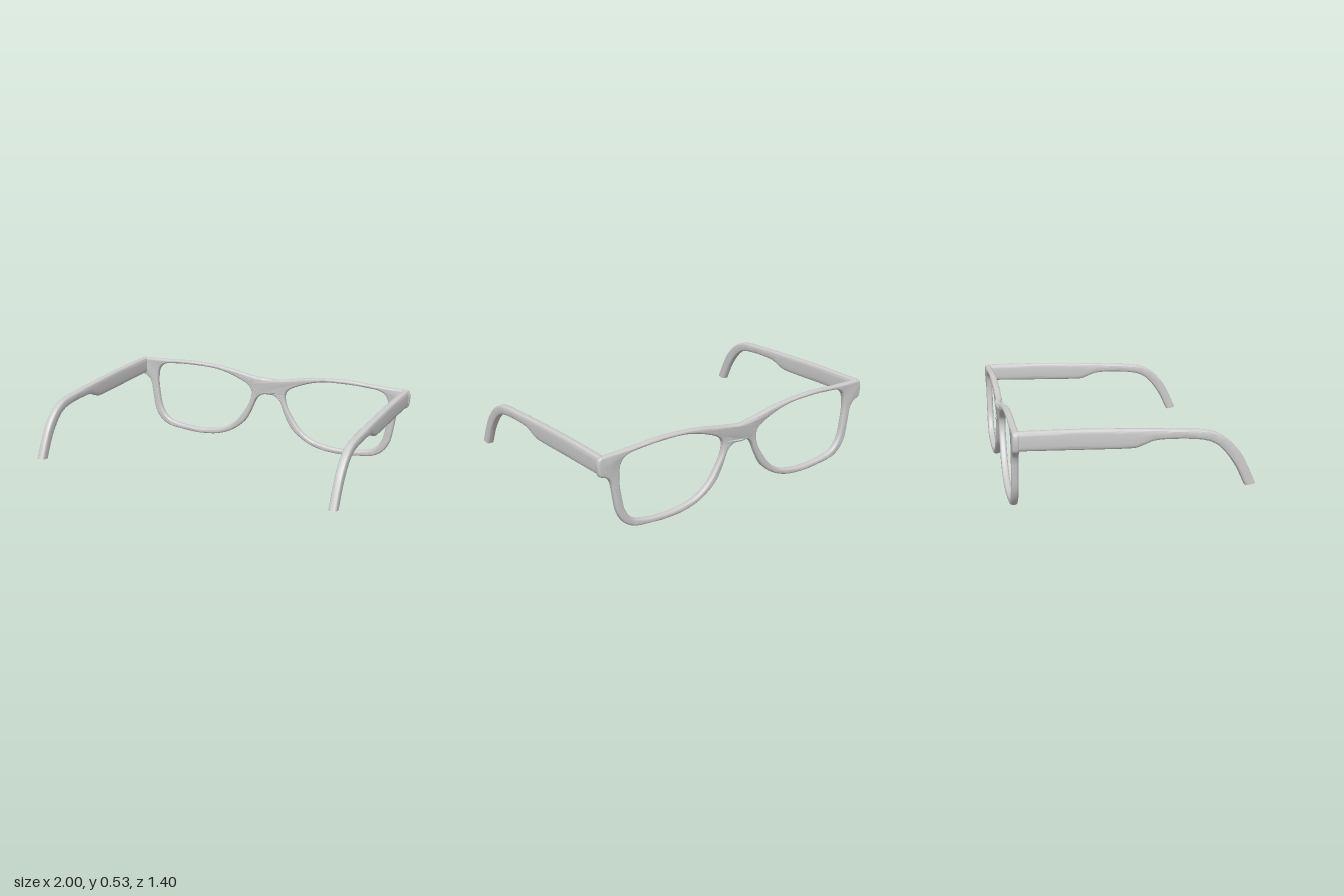
import * as THREE from 'three';
import { toCreasedNormals } from 'three/addons/utils/BufferGeometryUtils.js';

const material = new THREE.MeshStandardMaterial({ color: 0xcccccc });

// Smooth closed loop of 2D points through a few control points
function smoothLoop(points, count) {
  const curve = new THREE.CatmullRomCurve3(points.map(([x, y]) => new THREE.Vector3(x, y, 0)), true);
  return Array.from({ length: count }, (_, i) => {
    const p = curve.getPoint(i / count);
    return new THREE.Vector2(p.x, p.y);
  });
}

const mirrorX = (points) => points.map(([x, y]) => [-x, y]);

// Front frame: half outline from under the bridge, round the rim, to the top of the bridge
const halfOutline = [
  [0, 0.348], [0.045, 0.346], [0.085, 0.315], [0.122, 0.234], [0.172, 0.143], [0.272, 0.062],
  [0.378, 0.021], [0.512, 0.006], [0.642, 0.013], [0.767, 0.032], [0.833, 0.076], [0.873, 0.146],
  [0.893, 0.25], [0.912, 0.345], [0.94, 0.375], [0.978, 0.393], [0.987, 0.42], [0.987, 0.485],
  [0.975, 0.503], [0.9, 0.507], [0.752, 0.512], [0.592, 0.522], [0.432, 0.517], [0.272, 0.5],
  [0.137, 0.474], [0, 0.46],
];
const lensOpening = [
  [0.852, 0.36], [0.837, 0.442], [0.797, 0.476], [0.7, 0.49], [0.537, 0.495], [0.377, 0.486],
  [0.242, 0.448], [0.152, 0.404], [0.128, 0.369], [0.133, 0.304], [0.183, 0.208], [0.243, 0.132],
  [0.323, 0.077], [0.433, 0.049], [0.537, 0.042], [0.672, 0.053], [0.767, 0.082], [0.818, 0.147],
  [0.842, 0.25],
];

function frameGeometry() {
  const outline = [...halfOutline, ...mirrorX(halfOutline.slice(1, -1)).reverse()];
  const shape = new THREE.Shape(smoothLoop(outline, 200));
  for (const hole of [lensOpening, mirrorX(lensOpening)]) {
    shape.holes.push(new THREE.Path(smoothLoop(hole, 100)));
  }
  const geometry = new THREE.ExtrudeGeometry(shape, {
    depth: 0.008, bevelThickness: 0.016, bevelSize: 0.012, bevelOffset: -0.012, bevelSegments: 4,
  });
  geometry.translate(0, 0, -0.669);
  // Arch the bridge forward
  const pos = geometry.attributes.position;
  for (let i = 0; i < pos.count; i++) {
    const x = pos.getX(i);
    pos.setZ(i, pos.getZ(i) - 0.016 * Math.exp(-((x / 0.05) ** 2)));
  }
  return toCreasedNormals(geometry, 0.7);
}

// Temple arm stations: top z, top y, bottom z, bottom y
const templeStations = [
  [-0.672, 0.508, -0.672, 0.4], [-0.3, 0.505, -0.3, 0.391], [-0.045, 0.496, -0.045, 0.386],
  [0, 0.494, 0, 0.389], [0.1, 0.489, 0.1, 0.424], [0.2, 0.483, 0.2, 0.428], [0.3, 0.477, 0.3, 0.424],
  [0.385, 0.47, 0.375, 0.415], [0.445, 0.455, 0.42, 0.402], [0.512, 0.416, 0.463, 0.378],
  [0.587, 0.337, 0.511, 0.33], [0.635, 0.25, 0.565, 0.254], [0.68, 0.15, 0.62, 0.141],
];

// Rounded rectangular sections lofted along the arm, with flat ends
function templeGeometry() {
  const rail = (k) => new THREE.CatmullRomCurve3(
    templeStations.map((s) => new THREE.Vector3(0, s[k + 1], s[k])));
  const top = rail(0), bottom = rail(2);
  const steps = 60, sides = 24, halfWidth = 0.024;
  const round = (v) => Math.sign(v) * Math.abs(v) ** 0.5;
  const positions = [], index = [];
  for (let i = 0; i <= steps; i++) {
    const a = bottom.getPoint(i / steps), b = top.getPoint(i / steps);
    for (let j = 0; j < sides; j++) {
      const angle = (j / sides) * Math.PI * 2;
      const p = a.clone().lerp(b, 0.5 + 0.5 * round(Math.sin(angle)));
      positions.push(halfWidth * round(Math.cos(angle)), p.y, p.z);
    }
  }
  for (let i = 0; i < steps; i++) {
    for (let j = 0; j < sides; j++) {
      const a = i * sides + j, b = i * sides + ((j + 1) % sides);
      index.push(a, b, a + sides, b, b + sides, a + sides);
    }
  }
  const last = steps * sides;
  for (let j = 1; j < sides - 1; j++) {
    index.push(0, j + 1, j, last, last + j, last + j + 1);
  }
  const geometry = new THREE.BufferGeometry();
  geometry.setAttribute('position', new THREE.Float32BufferAttribute(positions, 3));
  geometry.setIndex(index);
  return toCreasedNormals(geometry, 0.8);
}

export function createModel() {
  const model = new THREE.Group();
  model.name = 'eyeglasses';

  const frame = new THREE.Mesh(frameGeometry(), material);
  frame.name = 'frontFrame';
  model.add(frame);

  const armGeometry = templeGeometry();
  for (const [name, side] of [['leftTemple', 1], ['rightTemple', -1]]) {
    const temple = new THREE.Mesh(armGeometry, material);
    temple.name = name;
    temple.position.x = side * 0.96;
    model.add(temple);
  }

  // Resting slightly turned and tilted
  model.rotation.set(0, -0.02, -0.011);
  model.position.x = -0.003;
  return model;
}
